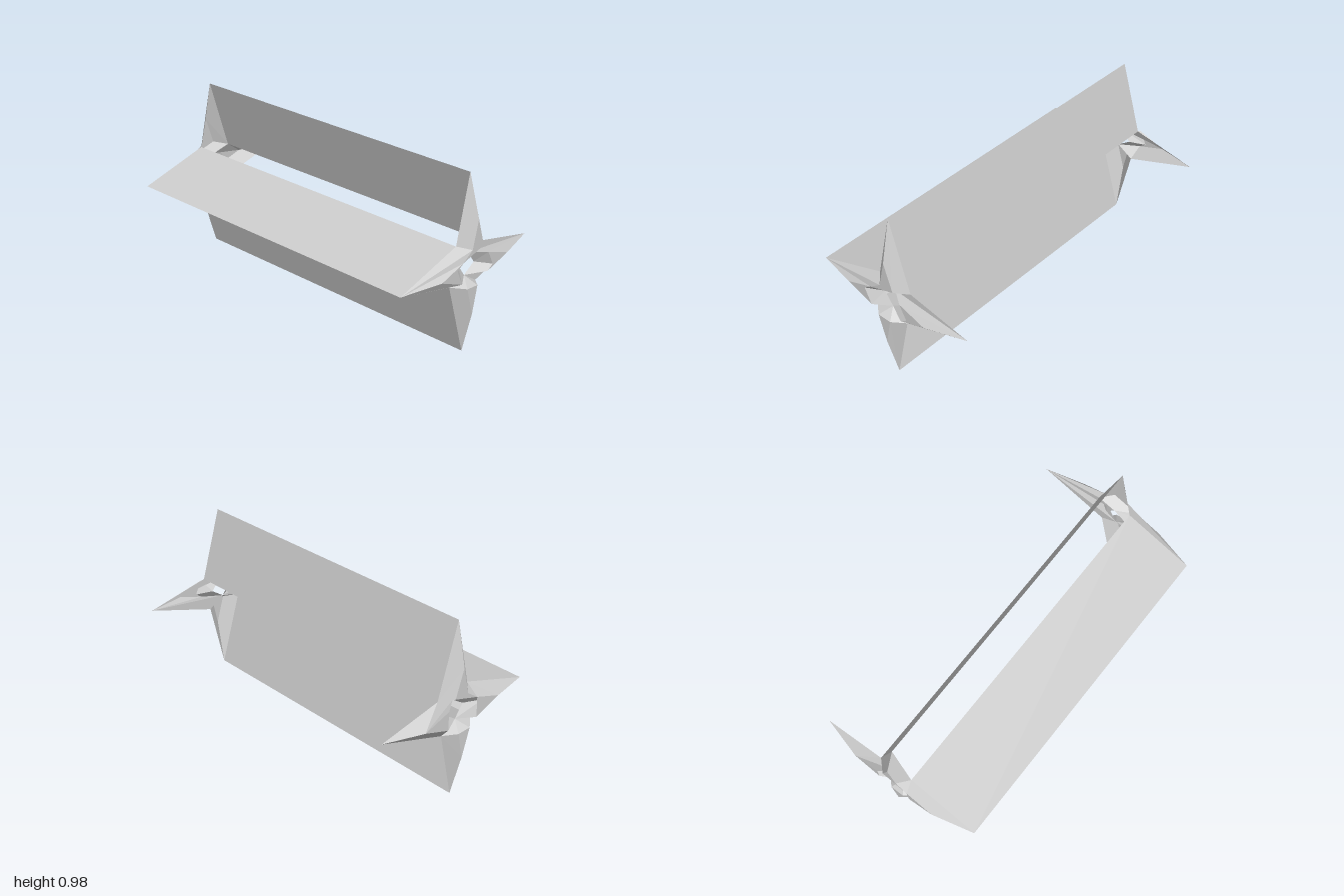
import * as THREE from 'three';

const RIM = 0.94, CREST = 1;

// Corners of one star end: x, y, z
const P = {
  // outer outline: four tips and four valleys
  top: [0, 0.98, RIM], right: [0.487, 0.492, RIM], bottom: [0, 0, RIM], left: [-0.487, 0.492, RIM],
  valleyTR: [0.12, 0.578, RIM], valleyBR: [0.084, 0.372, RIM],
  valleyBL: [-0.123, 0.406, RIM], valleyTL: [-0.084, 0.615, RIM],
  // raised flat of each arm
  t: [0.008, 0.749, CREST], tL: [-0.029, 0.597, CREST], tR: [0.058, 0.594, CREST],
  r: [0.257, 0.484, CREST], rU: [0.1, 0.542, CREST], rM: [0.14, 0.463, CREST], rD: [0.1, 0.437, CREST],
  b: [-0.008, 0.238, CREST], bL: [-0.055, 0.393, CREST], bR: [0.024, 0.387, CREST],
  l: [-0.255, 0.5, CREST], lU: [-0.097, 0.55, CREST], lM: [-0.14, 0.521, CREST], lD: [-0.1, 0.435, CREST],
  // central opening
  h1: [0.013, 0.55, RIM], h2: [0.063, 0.482, RIM], h3: [-0.01, 0.434, RIM], h4: [-0.06, 0.505, RIM],
};

// Facets of each part of a star end
const ENDS = {
  topArm: ['top valleyTL tL t', 'top t tR valleyTR', 't tL tR', 'tL lU tR', 'lU h1 valleyTR tR'],
  rightArm: ['right valleyTR h1 rU r', 'r rU rM rD', 'right r rD h3 valleyBR'],
  leftArm: ['left l lU tL valleyTL', 'l lD lM lU', 'left valleyBL h3 lD l'],
  bottomArm: ['bottom b bL valleyBL', 'bottom valleyBR bR b', 'b bR bL', 'bL bR h3',
    'valleyBL bL h3', 'valleyBR h3 bR'],
  opening: ['rU h1 h2 rM', 'rM h2 h3 rD', 'lD h3 h4 lM', 'lM h4 h1 lU'],
};

// Long panels joining the two ends
const PANELS = {
  topPanel: ['valleyTR', 'top'],
  leftUpperPanel: ['valleyTL', 'left'],
  leftLowerPanel: ['left', 'valleyBL'],
  bottomPanel: ['valleyBL', 'bottom'],
};

// Flat-faced geometry from polygons, each fanned from its first corner
function facets(polygons) {
  const pos = [];
  for (const c of polygons) {
    for (let i = 1; i < c.length - 1; i++) pos.push(...c[0], ...c[i], ...c[i + 1]);
  }
  const g = new THREE.BufferGeometry();
  g.setAttribute('position', new THREE.Float32BufferAttribute(pos, 3));
  g.computeVertexNormals();
  return g;
}

const flip = ([x, y, z]) => [x, y, -z];

export function createModel() {
  const model = new THREE.Group();
  model.name = 'starPrism';
  const grey = new THREE.MeshStandardMaterial({ color: 0xcccccc, side: THREE.DoubleSide, flatShading: true });
  grey.name = 'lightGrey';

  const add = (parent, name, polygons) => {
    const mesh = new THREE.Mesh(facets(polygons), grey);
    mesh.name = name;
    parent.add(mesh);
  };

  // Faceted stars, mirrored front to back
  for (const end of ['frontStar', 'backStar']) {
    const star = new THREE.Group();
    star.name = end;
    for (const [name, list] of Object.entries(ENDS)) {
      add(star, name, list.map((s) => {
        const corners = s.split(' ').map((k) => P[k]);
        return end === 'frontStar' ? corners : corners.map(flip).reverse();
      }));
    }
    model.add(star);
  }

  // Side panels
  for (const [name, [a, b]] of Object.entries(PANELS)) {
    add(model, name, [[P[a], flip(P[a]), flip(P[b]), P[b]]]);
  }
  return model;
}
